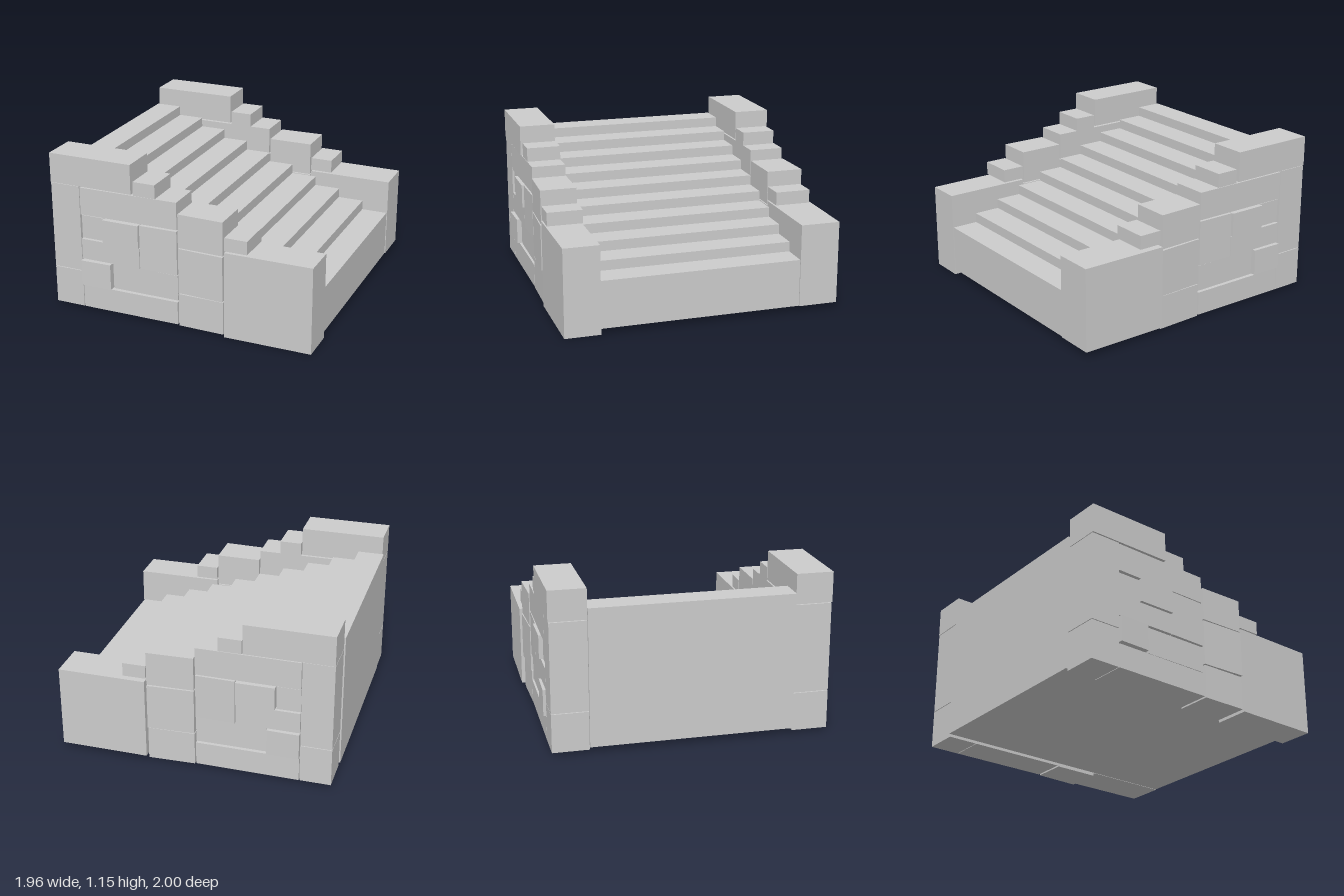
import * as THREE from 'three';

const grey = new THREE.MeshStandardMaterial({ color: 0xcccccc, flatShading: true });

// Stones of a side wall: name, x0, x1, y0, y1, then the outer depth
// at x0 and x1 for the front wall and for the back wall.
const STONES = [
  ['highCap', -0.97, -0.345, 0.94, 1.155, 0.98, 0.98, 0.975, 0.975],
  ['highCapStep', -0.335, -0.17, 0.93, 1.03, 0.965, 0.965, 0.96, 0.96],
  ['rearPillar', -0.97, -0.75, 0.3, 0.935, 0.975, 0.975, 0.97, 0.97],
  ['rearPillarFoot', -0.97, -0.75, 0.02, 0.295, 0.975, 0.975, 0.97, 0.97],
  ['upperCourse', -0.745, -0.01, 0.73, 0.93, 0.975, 0.965, 0.97, 0.965],
  ['smallStone', -0.745, -0.575, 0.55, 0.72, 0.96, 0.96, 0.955, 0.955],
  ['raisedStone', -0.57, -0.295, 0.55, 0.72, 0.99, 0.99, 0.985, 0.985],
  ['uprightStone', -0.29, -0.01, 0.395, 0.72, 0.975, 0.97, 0.97, 0.965],
  ['middleStone', -0.745, -0.295, 0.395, 0.545, 0.975, 0.975, 0.97, 0.97],
  ['raisedLowStone', -0.745, -0.517, 0.2, 0.388, 1.0, 0.995, 0.99, 0.985],
  ['recessedStone', -0.51, -0.01, 0.2, 0.388, 0.96, 0.96, 0.955, 0.955],
  ['lowerCourse', -0.745, -0.01, 0.02, 0.19, 0.975, 0.97, 0.97, 0.965],
  ['centreTop', 0, 0.335, 0.605, 0.85, 0.97, 0.98, 0.97, 0.98],
  ['centreMiddle', 0, 0.335, 0.265, 0.597, 0.97, 0.985, 0.97, 0.985],
  ['centreFoot', 0, 0.335, 0.015, 0.257, 0.97, 0.975, 0.965, 0.975],
  ['lowCapStep', 0.345, 0.51, 0.643, 0.74, 0.975, 0.975, 0.97, 0.97],
  ['endBlock', 0.345, 0.975, 0, 0.632, 0.98, 0.975, 1.0, 0.995],
];

// A box whose outer face may be slightly skewed along x
function stone(name, x0, x1, y0, y1, side, inner, outer0, outer1) {
  const geo = new THREE.BoxGeometry(x1 - x0, y1 - y0, 1);
  geo.translate((x0 + x1) / 2, (y0 + y1) / 2, 0);
  const p = geo.attributes.position;
  for (let i = 0; i < p.count; i++) {
    const outward = p.getZ(i) * side > 0;
    const outer = p.getX(i) < (x0 + x1) / 2 ? outer0 : outer1;
    p.setZ(i, side * (outward ? outer : inner));
  }
  geo.computeVertexNormals();
  const mesh = new THREE.Mesh(geo, grey);
  mesh.name = name;
  return mesh;
}

function wall(name, side) {
  const group = new THREE.Group();
  group.name = name;
  const front = side > 0;
  for (const [part, x0, x1, y0, y1, f0, f1, b0, b1] of STONES) {
    const base = !front && part === 'endBlock' ? 0.038 : y0;
    group.add(stone(part, x0, x1, base, y1, side, front ? 0.72 : 0.713,
      front ? f0 : b0, front ? f1 : b1));
  }
  return group;
}

// Ten steps descending towards +x, extruded across the width
function staircase() {
  const steps = 10, left = -0.98, bottom = 0.04, top = 1.02, low = 0.38;
  const run = 1.95 / steps, rise = (top - low) / (steps - 1);
  const shape = new THREE.Shape();
  shape.moveTo(left, bottom);
  shape.lineTo(left + run * steps, bottom);
  for (let i = steps - 1; i >= 0; i--) {
    shape.lineTo(left + run * (i + 1), top - rise * i);
    shape.lineTo(left + run * i, top - rise * i);
  }
  const geo = new THREE.ExtrudeGeometry(shape, { depth: 1.43, bevelEnabled: false });
  geo.translate(0, 0, -0.711);
  const mesh = new THREE.Mesh(geo, grey);
  mesh.name = 'staircase';
  return mesh;
}

export function createModel() {
  const model = new THREE.Group();
  model.name = 'stoneStairs';
  model.add(staircase(), wall('frontWall', 1), wall('backWall', -1));
  return model;
}
